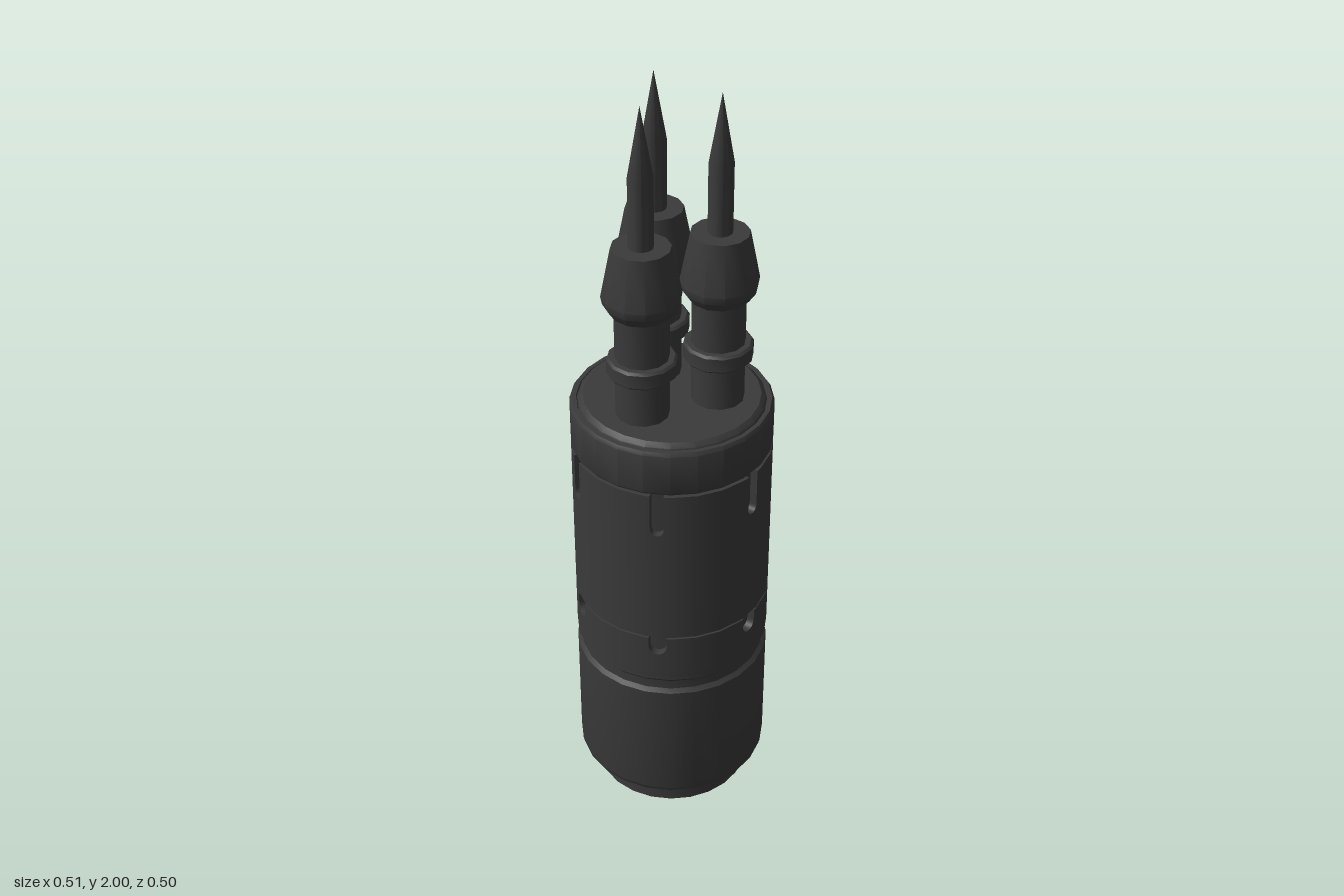
import * as THREE from 'three';
import { mergeGeometries, toCreasedNormals } from 'three/addons/utils/BufferGeometryUtils.js';

const SIDES = 24;
const R = 0.253;
const material = new THREE.MeshStandardMaterial({ color: 0x3a3a3a });

// Turned part from [radius, height] pairs, with a flat facing each axis
function turned(name, profile, sides) {
  const points = profile.map(([r, y]) => new THREE.Vector2(r, y));
  const lathe = new THREE.LatheGeometry(points, sides, Math.PI / sides);
  const mesh = new THREE.Mesh(toCreasedNormals(lathe, 0.6), material);
  mesh.name = name;
  return mesh;
}

// One curved wall panel, optionally with a round-bottomed slot in its top edge
function panel(angle, y0, y1, slotWidth, slotDepth) {
  const half = (R * Math.PI) / SIDES;
  const depth = 0.026;
  const shape = new THREE.Shape();
  shape.moveTo(-half, y0);
  shape.lineTo(half, y0);
  shape.lineTo(half, y1);
  if (slotWidth > 0) {
    const r = slotWidth / 2;
    shape.lineTo(r, y1);
    shape.lineTo(r, y1 - slotDepth + r);
    shape.absarc(0, y1 - slotDepth + r, r, 0, Math.PI, true);
    shape.lineTo(-r, y1);
  }
  shape.lineTo(-half, y1);
  shape.closePath();
  const geo = new THREE.ExtrudeGeometry(shape, { depth, bevelEnabled: false, curveSegments: 8 });

  // Bend the flat panel around the vertical axis
  const pos = geo.attributes.position;
  const outer = [];
  for (let i = 0; i < pos.count; i++) {
    const a = angle + pos.getX(i) / R;
    const r = R - depth + pos.getZ(i);
    outer.push(geo.attributes.normal.getZ(i) > 0.9 ? a : null);
    pos.setXYZ(i, r * Math.sin(a), pos.getY(i), r * Math.cos(a));
  }
  geo.computeVertexNormals();
  // Smooth the outer face across neighbouring panels
  outer.forEach((a, i) => {
    if (a !== null) geo.attributes.normal.setXYZ(i, Math.sin(a), 0, Math.cos(a));
  });
  return geo;
}

// Ring of panels, slotted every sixty degrees starting from +x
function slottedSleeve(name, y0, y1, slotWidth, slotDepth) {
  const panels = [];
  for (let i = 0; i < SIDES; i++) {
    const slotted = i % 4 === 2;
    panels.push(panel((i * 2 * Math.PI) / SIDES, y0, y1, slotted ? slotWidth : 0, slotDepth));
  }
  const mesh = new THREE.Mesh(mergeGeometries(panels), material);
  mesh.name = name;
  return mesh;
}

// Stem with a ring, a flared collar and a needle
function prong() {
  const group = new THREE.Group();
  group.name = 'prong';
  group.add(
    turned('stem', [[0.066, 1.19], [0.066, 1.5]], 12),
    turned('stemRing', [
      [0.064, 1.316], [0.08, 1.316], [0.086, 1.322], [0.086, 1.357], [0.08, 1.363], [0.064, 1.363],
    ], 12),
    turned('collar', [
      [0, 1.485], [0.075, 1.485], [0.092, 1.51], [0.096, 1.53], [0.071, 1.655], [0, 1.655],
    ], 12),
    turned('needle', [[0.03, 1.65], [0.03, 1.83], [0, 2]], 12),
  );
  return group;
}

export function createModel() {
  const model = new THREE.Group();
  model.name = 'threeProngedCanister';

  // Lower body with chamfered foot and waist groove
  model.add(turned('base', [
    [0, 0], [0.207, 0], [0.207, 0.035], [0.213, 0.042], [0.25, 0.078], [R, 0.09],
    [R, 0.432], [0.243, 0.442], [0.243, 0.468], [R, 0.48], [R, 0.5], [0.22, 0.5],
  ], SIDES));

  // Inner core seen through the slots and seams
  model.add(turned('core', [[0.235, 0.49], [0.235, 1.08]], SIDES));
  model.add(slottedSleeve('slottedBand', 0.5, 0.618, 0.046, 0.052));
  model.add(slottedSleeve('slottedSleeve', 0.623, 1.065, 0.034, 0.118));

  // Top cap with raised inner disc
  model.add(turned('cap', [
    [0.22, 1.07], [0.249, 1.07], [R, 1.076], [R, 1.182], [0.247, 1.191],
    [0.236, 1.191], [0.234, 1.186], [0.232, 1.193], [0.22, 1.203], [0, 1.203],
  ], SIDES));

  // Three prongs in a triangle, one at the back
  for (const [x, z] of [[0, -0.113], [-0.098, 0.056], [0.098, 0.056]]) {
    const p = prong();
    p.position.set(x, 0, z);
    model.add(p);
  }
  return model;
}
